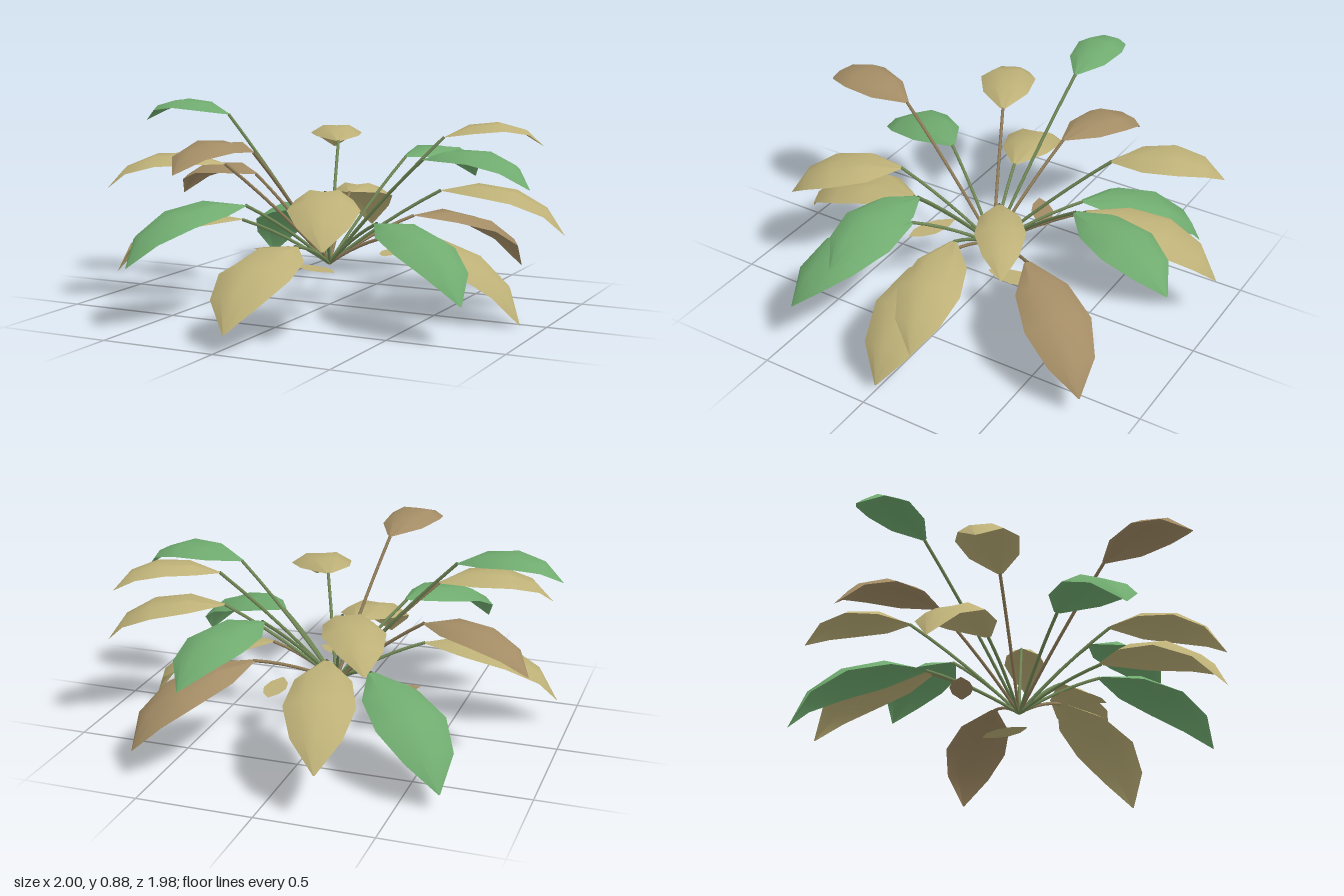
import * as THREE from 'three';

const mat = (name, color) => new THREE.MeshStandardMaterial({ name, color, side: THREE.DoubleSide });

// Leaf stations, base to tip: position along, arch height, half-width, height of the inner fold, height of the edge
const STATIONS = [
  [0.0, 0.0, 0.1, 0.0, 0.0],
  [0.25, 0.125, 0.8, 0.06, -0.25],
  [0.54, 0.185, 1.0, 0.02, -0.28],
  [0.8, 0.145, 0.7, 0.0, -0.18],
  [1.0, 0.0, 0.02, 0.0, 0.0],
];

// Blade from base to tip; w is the half-width, bend scales the arch and the cross folds
function leafGeometry(base, tip, w, bend) {
  const dir = tip.clone().sub(base);
  const length = dir.length();
  dir.normalize();
  const side = new THREE.Vector3(-dir.z, 0, dir.x).normalize();
  const up = side.clone().cross(dir).normalize();
  const pos = [], idx = [];
  for (const [t, arch, width, fold, edge] of STATIONS) {
    const mid = base.clone().lerp(tip, t).addScaledVector(up, bend * arch * length);
    for (let j = -2; j <= 2; j++) {
      const lift = bend * w * [0, fold, edge][Math.abs(j)];
      const p = mid.clone().addScaledVector(side, (j / 2) * width * w).addScaledVector(up, lift);
      pos.push(p.x, p.y, p.z);
    }
  }
  for (let i = 0; i < STATIONS.length - 1; i++) {
    for (let j = 0; j < 4; j++) {
      const a = i * 5 + j, b = a + 5;
      idx.push(a, b, a + 1, a + 1, b, b + 1);
    }
  }
  const g = new THREE.BufferGeometry();
  g.setAttribute('position', new THREE.Float32BufferAttribute(pos, 3));
  g.setIndex(idx);
  g.computeVertexNormals();
  return g;
}

// Thin, slightly bowed stalk from the crown to the leaf base
function stemGeometry(root, end) {
  const mid = root.clone().lerp(end, 0.5);
  mid.y += 0.035;
  return new THREE.TubeGeometry(new THREE.QuadraticBezierCurve3(root, mid, end), 6, 0.0075, 5);
}

export function createModel() {
  const plant = new THREE.Group();
  plant.name = 'leafyPlant';

  const green = mat('leafGreen', 0x70ab6f);
  const olive = mat('leafOlive', 0xbdb077);
  const brown = mat('leafBrown', 0xa38c65);
  const stemGreen = mat('stemGreen', 0x738a58);
  const stemBrown = mat('stemBrown', 0x917d5a);

  // Leaf colour, stem colour, base xyz, tip xyz, half-width
  const leaves = [
    [green, stemGreen, [0.15, 0.62, -0.49], [0.305, 0.485, -0.99], 0.14],
    [brown, stemBrown, [0.26, 0.375, -0.33], [0.62, 0.1, -0.785], 0.145],
    [olive, stemGreen, [0.42, 0.74, -0.29], [0.8, 0.695, -0.53], 0.1],
    [olive, stemGreen, [0.48, 0.53, -0.11], [0.995, 0.35, -0.24], 0.13],
    [olive, stemBrown, [0.3, 0.335, 0.01], [0.89, 0.005, 0.02], 0.155],
    [green, stemGreen, [0.47, 0.68, 0.07], [0.965, 0.59, 0.15], 0.125],
    [green, stemGreen, [0.325, 0.42, 0.21], [0.815, 0.17, 0.5], 0.15],
    [olive, stemGreen, [0.165, 0.56, 0.37], [0.38, 0.4, 0.82], 0.145],
    [olive, stemGreen, [0.04, 0.33, 0.4], [0.04, 0.08, 0.985], 0.16],
    [brown, stemBrown, [-0.09, 0.725, 0.51], [-0.175, 0.68, 0.985], 0.125],
    [green, stemGreen, [-0.22, 0.48, 0.355], [-0.49, 0.27, 0.855], 0.15],
    [olive, stemBrown, [-0.41, 0.63, 0.2], [-0.875, 0.52, 0.43], 0.13],
    [olive, stemGreen, [-0.375, 0.375, 0.115], [-0.945, 0.12, 0.26], 0.135],
    [green, stemGreen, [-0.56, 0.82, -0.09], [-1.0, 0.78, -0.08], 0.11],
    [brown, stemBrown, [-0.43, 0.55, -0.11], [-0.91, 0.42, -0.255], 0.12],
    [green, stemGreen, [-0.26, 0.38, -0.31], [-0.67, 0.075, -0.715], 0.16],
    [olive, stemGreen, [-0.19, 0.68, -0.475], [-0.42, 0.605, -0.9], 0.125],
    [olive, stemBrown, [-0.1, 0.45, -0.41], [-0.245, 0.21, -0.975], 0.145],
  ];
  const root = new THREE.Vector3(0, 0.19, 0);
  for (const [leafMat, stemMat, b, t, w] of leaves) {
    const base = new THREE.Vector3(...b), tip = new THREE.Vector3(...t);
    const leaf = new THREE.Mesh(leafGeometry(base, tip, w, 1), leafMat);
    leaf.name = 'leaf';
    const stem = new THREE.Mesh(stemGeometry(root, base), stemMat);
    stem.name = 'stem';
    plant.add(leaf, stem);
  }

  // Small flat leaflets low around the crown
  const leaflets = [
    [olive, [0.21, 0.22, -0.11], [0.19, 0.22, -0.345]],
    [brown, [-0.21, 0.22, -0.15], [-0.395, 0.22, -0.01]],
    [olive, [-0.035, 0.22, 0.23], [0.185, 0.22, 0.33]],
  ];
  for (const [m, b, t] of leaflets) {
    const leaflet = new THREE.Mesh(leafGeometry(new THREE.Vector3(...b), new THREE.Vector3(...t), 0.05, 0), m);
    leaflet.name = 'leaflet';
    plant.add(leaflet);
  }
  return plant;
}
